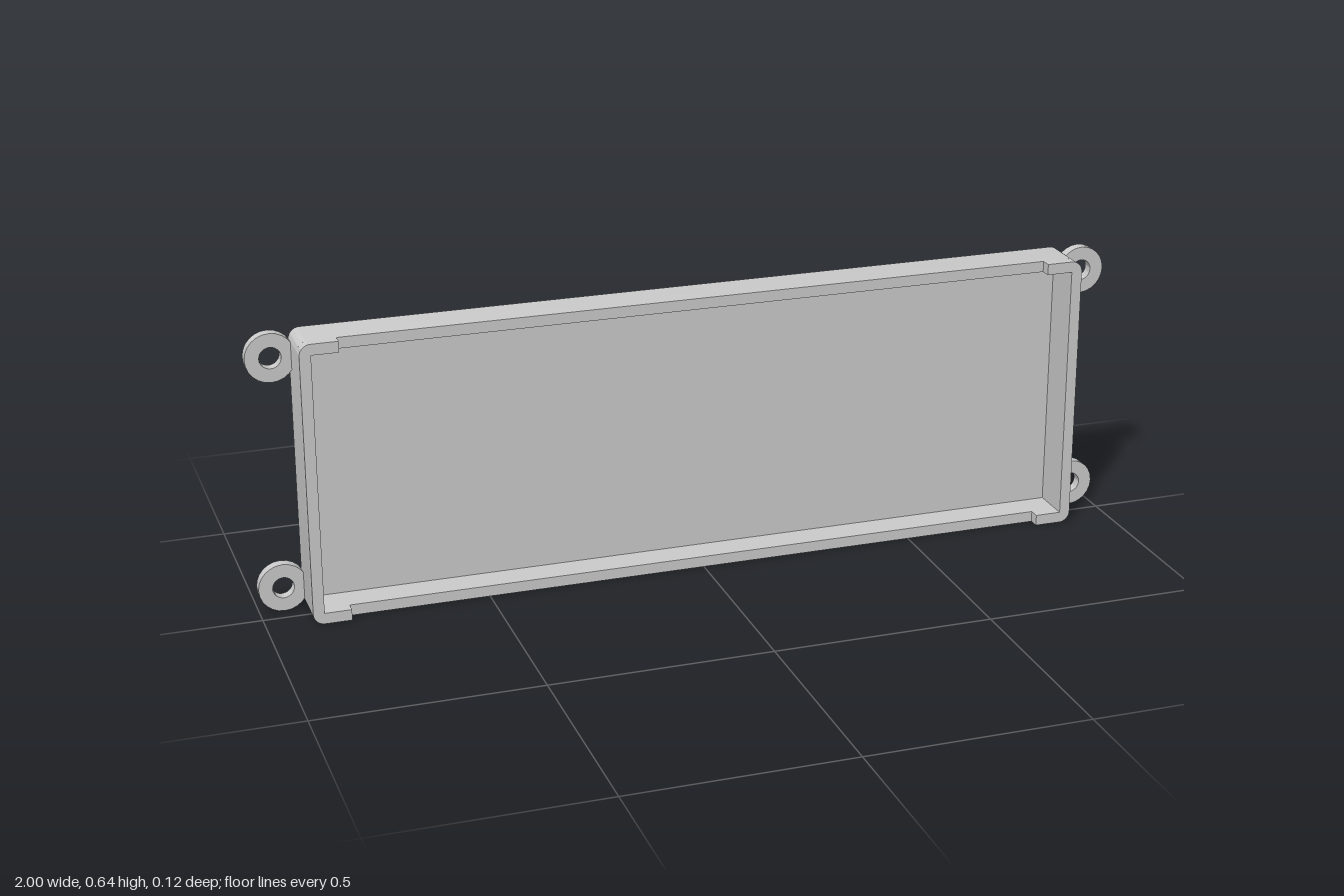
import * as THREE from 'three';
import { toCreasedNormals } from 'three/addons/utils/BufferGeometryUtils.js';

const W = 0.9, H = 0.642, D = 0.06;     // half width, height, half depth
const WALL = 0.025, R = 0.025;          // wall thickness, outer corner radius
const NOTCH_X = 0.815, NOTCH_Z = 0.035; // cutaway along the long front edges
const EAR_R = 0.055, HOLE_R = 0.024;

const material = new THREE.MeshStandardMaterial({ color: 0xcccccc });

// Extrude a front-facing shape between two z planes
function slab(name, shape, z0, z1) {
  const geo = new THREE.ExtrudeGeometry(shape, { depth: z1 - z0, bevelEnabled: false, curveSegments: 12 });
  geo.translate(0, 0, z0);
  const mesh = new THREE.Mesh(toCreasedNormals(geo, 0.6), material);
  mesh.name = name;
  return mesh;
}

function roundedOutline() {
  const s = new THREE.Shape();
  s.absarc(W - R, R, R, -Math.PI / 2, 0);
  s.absarc(W - R, H - R, R, 0, Math.PI / 2);
  s.absarc(-W + R, H - R, R, Math.PI / 2, Math.PI);
  s.absarc(-W + R, R, R, Math.PI, Math.PI * 1.5);
  s.closePath();
  return s;
}

// C-shaped raised lip at one end (side = 1 or -1)
function lipOutline(side) {
  const s = new THREE.Shape();
  const arc = (y, a0, a1) => {
    for (let i = 0; i <= 12; i++) {
      const a = a0 + (a1 - a0) * i / 12;
      s.lineTo(side * (W - R + R * Math.cos(a)), y + R * Math.sin(a));
    }
  };
  s.moveTo(side * NOTCH_X, 0);
  arc(R, -Math.PI / 2, 0);
  arc(H - R, 0, Math.PI / 2);
  s.lineTo(side * NOTCH_X, H);
  s.lineTo(side * NOTCH_X, H - WALL);
  s.lineTo(side * (W - WALL), H - WALL);
  s.lineTo(side * (W - WALL), WALL);
  s.lineTo(side * NOTCH_X, WALL);
  s.closePath();
  return s;
}

export function createModel() {
  const group = new THREE.Group();
  group.name = 'enclosureTray';

  // Back panel
  group.add(slab('backPanel', roundedOutline(), -D, -D + WALL));

  // Surrounding wall up to the notch height
  const rim = roundedOutline();
  const x = W - WALL;
  rim.holes.push(new THREE.Path([
    new THREE.Vector2(-x, WALL), new THREE.Vector2(-x, H - WALL),
    new THREE.Vector2(x, H - WALL), new THREE.Vector2(x, WALL),
  ]));
  group.add(slab('sideWalls', rim, -D + WALL, NOTCH_Z));

  for (const side of [1, -1]) {
    const sideName = side > 0 ? 'left' : 'right';
    // Raised end lip
    group.add(slab(sideName + 'EndLip', lipOutline(side), NOTCH_Z, D));

    // Mounting ears with screw holes
    for (const top of [false, true]) {
      const cx = side * (1 - EAR_R), cy = top ? H - EAR_R : EAR_R;
      const ear = new THREE.Shape().absarc(cx, cy, EAR_R, 0, Math.PI * 2);
      ear.holes.push(new THREE.Path().absarc(cx, cy, HOLE_R, 0, Math.PI * 2, true));
      group.add(slab(sideName + (top ? 'Top' : 'Bottom') + 'MountingEar', ear, -D, -D + WALL));
    }
  }
  return group;
}
